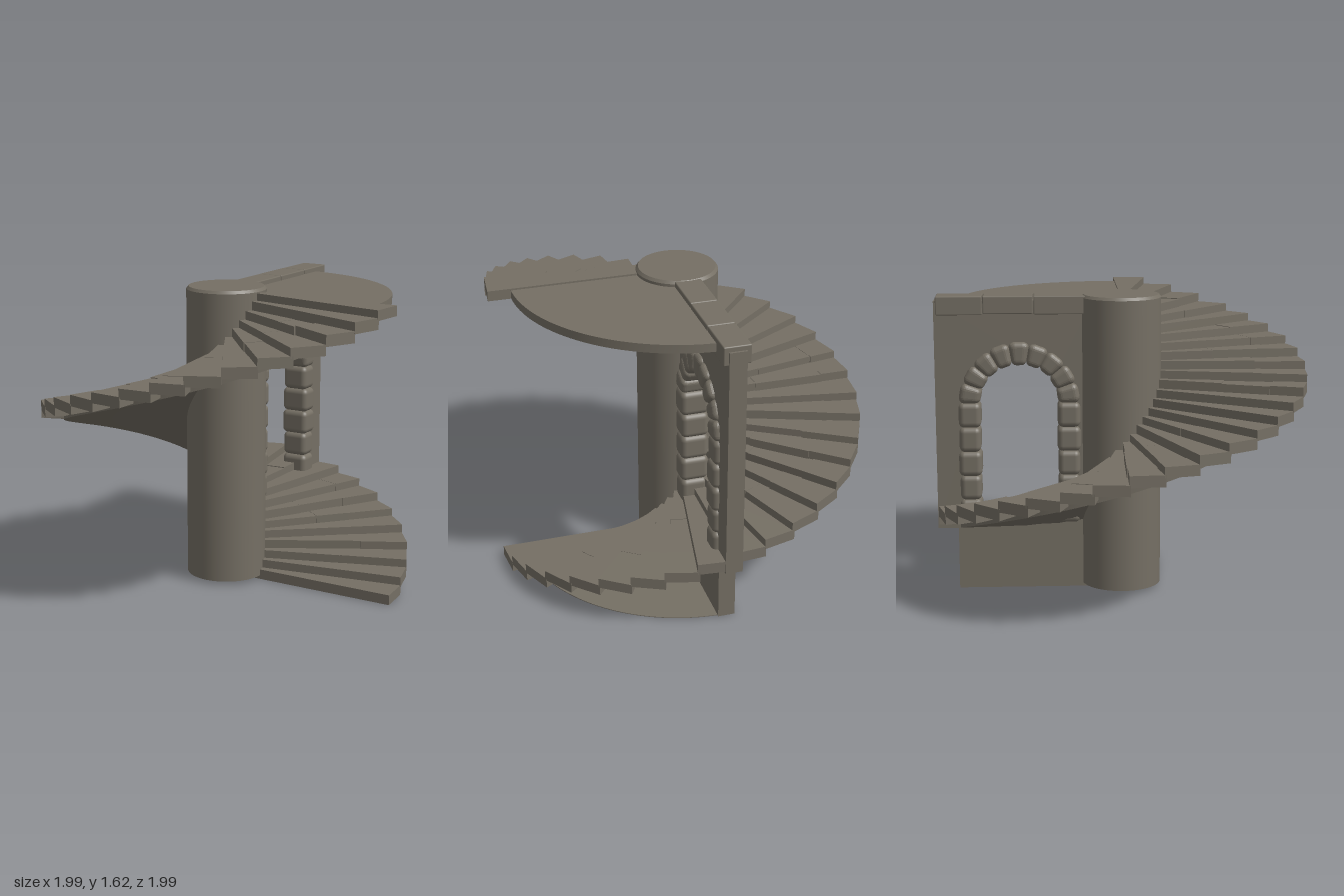
import * as THREE from 'three';
import { RoundedBoxGeometry } from 'three/addons/geometries/RoundedBoxGeometry.js';

const DEG = Math.PI / 180;
const STEPS = 36, TURN = 10, RISE = 0.044, STEP_H = 0.06, START = 45;

// small seeded random, 0..1
let seed = 7;
const rnd = () => {
  seed = (seed * 16807) % 2147483647;
  return seed / 2147483647;
};

// box bent around the y axis: radius r0..r1, angle a0..a1 in degrees, bottom height from yAt(angle)
function sector(r0, r1, a0, a1, yAt, h, segments = 1) {
  const g = new THREE.BoxGeometry(1, 1, 1, 1, 1, segments);
  const p = g.attributes.position;
  for (let i = 0; i < p.count; i++) {
    const r = r0 + (r1 - r0) * (p.getX(i) + 0.5);
    const deg = a0 + (a1 - a0) * (p.getZ(i) + 0.5);
    const a = deg * DEG;
    p.setXYZ(i, r * Math.cos(a), yAt(deg) + h * (p.getY(i) + 0.5), r * Math.sin(a));
  }
  g.computeVertexNormals();
  return g;
}

export function createModel() {
  seed = 7;
  const model = new THREE.Group();
  const stone = new THREE.MeshStandardMaterial({ color: 0x756f64 });
  stone.name = 'grey brown stone';
  const add = (parent, name, geometry) => {
    const m = new THREE.Mesh(geometry, stone);
    m.name = name;
    parent.add(m);
    return m;
  };

  // central column with a small bevel at the top
  const column = [[0, 0.02], [0.215, 0.02], [0.215, 0.02], [0.215, 1.6], [0.215, 1.6], [0.203, 1.615], [0.203, 1.615], [0, 1.615]];
  add(model, 'column', new THREE.LatheGeometry(column.map(([x, y]) => new THREE.Vector2(x, y)), 64));

  // steps, each a wedge made of one to three worn blocks
  const steps = new THREE.Group();
  steps.name = 'steps';
  model.add(steps);
  for (let k = 0; k < STEPS; k++) {
    const front = START - TURN * k;
    const cuts = [0.13];
    const blocks = 1 + Math.floor(rnd() * 3);
    for (let b = 1; b < blocks; b++) cuts.push(0.13 + 0.87 * (b + 0.5 * rnd()) / blocks);
    cuts.push(1);
    for (let b = 0; b < blocks; b++) {
      const nose = k === 0 ? 0 : rnd() * 0.9;
      const h = STEP_H - rnd() * 0.006;
      add(steps, 'stepBlock', sector(cuts[b], cuts[b + 1], front - TURN, front + nose, () => k * RISE, h));
    }
  }

  // smooth ramp carrying the steps from the wall round to the landing
  add(model, 'ramp', sector(0.2, 0.88, 45, 315, (d) => 1.54 - 0.00449 * (d - 45), 0.045, 108));

  // quarter landing at the top and thin floor plate at the bottom
  add(model, 'landing', sector(0.2, 0.88, -45, 45, () => 1.54, 0.045, 36));
  add(model, 'floorPlate', sector(0.2, 0.88, -45, 45, () => 0, 0.004, 36));

  // wall group: local x runs outwards from the column
  const wall = new THREE.Group();
  wall.name = 'archWall';
  wall.rotation.y = 45 * DEG;
  model.add(wall);

  const MID = 0.55, SPRING = 1.035, HALF = 0.23, FOOT = 0.37;
  const outline = new THREE.Shape();
  outline.moveTo(0.15, 0.34);
  outline.lineTo(1, 0.34);
  outline.lineTo(1, 1.585);
  outline.lineTo(0.15, 1.585);
  outline.closePath();
  const opening = new THREE.Path();
  opening.moveTo(MID - HALF, 0.39);
  opening.lineTo(MID - HALF, SPRING);
  opening.absarc(MID, SPRING, HALF, Math.PI, 0, true);
  opening.lineTo(MID + HALF, 0.39);
  opening.closePath();
  outline.holes.push(opening);
  const wallGeo = new THREE.ExtrudeGeometry(outline, { depth: 0.09, bevelEnabled: false, curveSegments: 20 });
  add(wall, 'wall', wallGeo.translate(0, 0, -0.045));
  add(wall, 'wallBase', new THREE.BoxGeometry(0.75, 0.38, 0.09).translate(0.515, 0.19, 0));

  // arch frame: straight legs, then wedge stones around the curve
  const RING = 0.267, WIDE = 0.115;
  const legStones = 5, legH = (SPRING - FOOT) / legStones;
  for (const side of [-1, 1]) {
    for (let i = 0; i < legStones; i++) {
      const g = new RoundedBoxGeometry(WIDE + rnd() * 0.012, legH, 0.145 + rnd() * 0.015, 3, 0.03);
      // keep the bed joints tight by flattening the ends a little
      g.scale(1, 1.03, 1);
      add(wall, 'legStone', g.translate(MID + side * RING, FOOT + (i + 0.5) * legH, 0));
    }
  }
  const arcStones = 9, span = Math.PI / arcStones;
  for (let i = 0; i < arcStones; i++) {
    const g = new RoundedBoxGeometry(WIDE + rnd() * 0.012, 1.03 * span * RING, 0.145 + rnd() * 0.015, 3, 0.03);
    const p = g.attributes.position;
    for (let j = 0; j < p.count; j++) {
      const r = RING + p.getX(j);
      const a = (i + 0.5) * span + p.getY(j) / RING;
      p.setXY(j, MID + r * Math.cos(a), SPRING + r * Math.sin(a));
    }
    g.computeVertexNormals();
    add(wall, 'archStone', g);
  }

  // coping stones along the top of the wall
  const joints = [0.19, 0.47, 0.74, 0.99];
  for (let i = 0; i < joints.length - 1; i++) {
    const len = joints[i + 1] - joints[i] - 0.004;
    const h = 0.09 + rnd() * 0.01;
    const g = new RoundedBoxGeometry(len, h, 0.13 + rnd() * 0.015, 1, 0.006);
    add(wall, 'copingStone', g.translate((joints[i] + joints[i + 1]) / 2, 1.612 - h / 2, 0));
  }

  return model;
}
